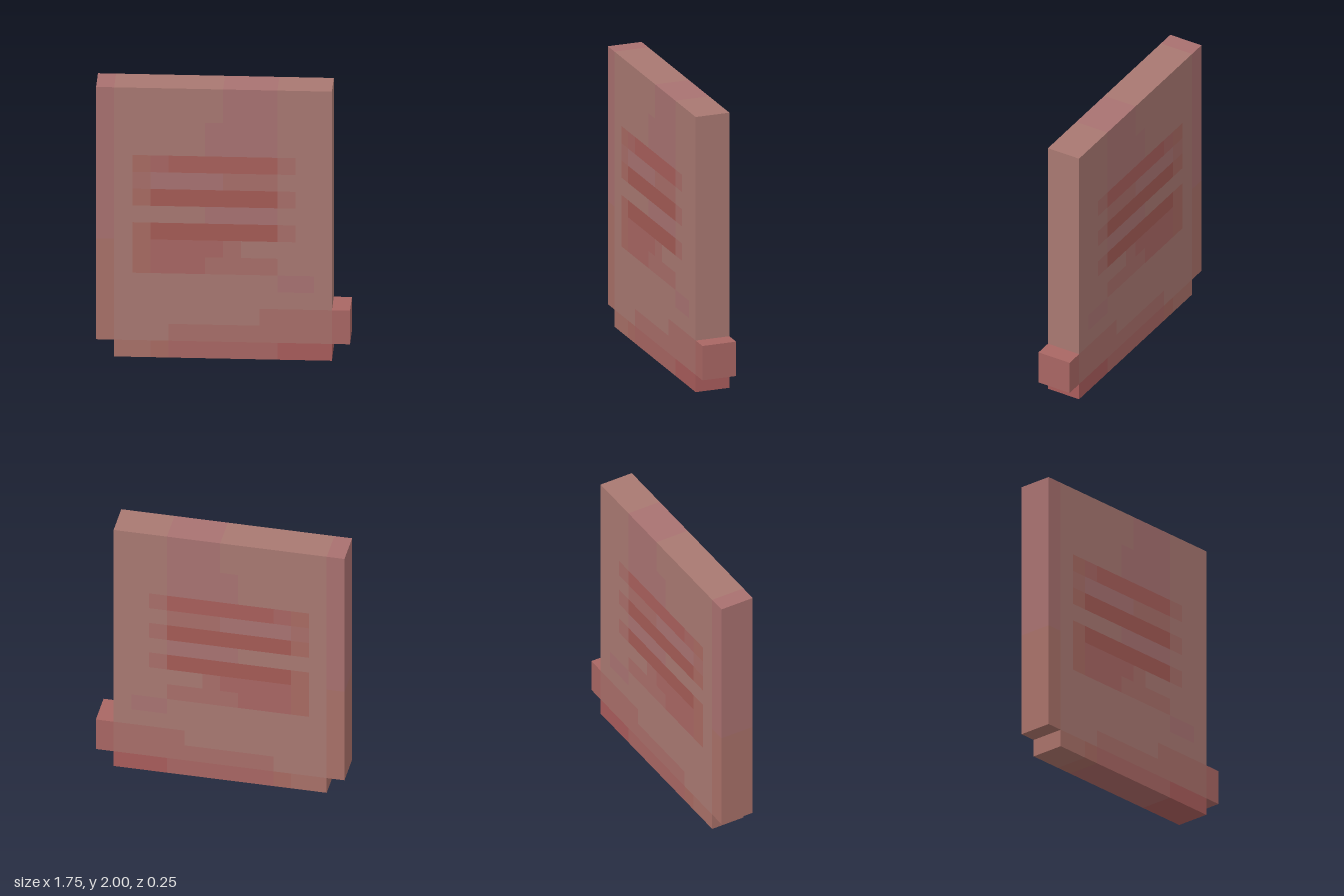
import * as THREE from 'three';

const CELL = 0.125, HALF_DEPTH = 0.125;

// Cell map of the written sheet, top row first; '.' is empty
const ROWS = [
  'lbbbbbbpppbbb.',
  'lbbbbbbpppbbb.',
  'lbbbbbppppbbb.',
  'lbbbbbppppbbb.',
  'lbesrrrrrrmbb.',
  'lbmppppmmmbbb.',
  'lbedddddddmbb.',
  'lbbbbbppppbbb.',
  'lbedddddddmbb.',
  'kbessssmbbbbb.',
  'kbesssmmmmbbb.',
  'kbbbbbbbbbppb.',
  'kbbbbbbbbbbbb.',
  'kbbbbbbbbmmmmf',
  'kbbbmmmmmmmmmf',
  '.kkeffffffgggg'.slice(0, 13) + '.',
];

const PARTS = {
  b: ['sheet', 0xa87871],
  l: ['upperLeftEdge', 0xa8706f],
  k: ['lowerLeftEdge', 0xa87068],
  p: ['paleStain', 0xa87271],
  m: ['rollShade', 0xa86e69],
  e: ['lineEnds', 0xa86a62],
  s: ['markBlock', 0xa86663],
  r: ['topLine', 0xa85f5b],
  d: ['lowerLines', 0xa45b55],
  f: ['rollEnd', 0xa86663],
  g: ['rollBase', 0xa85c5b],
};

const filled = (r, c) => (ROWS[r]?.[c] ?? '.') !== '.';

export function createModel() {
  const group = new THREE.Group();
  group.name = 'writtenSheet';

  for (const [key, [name, color]] of Object.entries(PARTS)) {
    const pos = [];
    const quad = (a, b, c, d) => pos.push(...a, ...b, ...c, ...a, ...c, ...d);

    ROWS.forEach((row, r) => [...row].forEach((ch, c) => {
      if (ch !== key) return;
      const x0 = -0.875 + c * CELL, x1 = x0 + CELL;
      const y1 = 2 - r * CELL, y0 = y1 - CELL;
      const f = HALF_DEPTH, k = -HALF_DEPTH;
      // Front and back
      quad([x0, y0, f], [x1, y0, f], [x1, y1, f], [x0, y1, f]);
      quad([x1, y0, k], [x0, y0, k], [x0, y1, k], [x1, y1, k]);
      // Rim faces only where the neighbouring cell is empty
      if (!filled(r, c + 1)) quad([x1, y0, f], [x1, y0, k], [x1, y1, k], [x1, y1, f]);
      if (!filled(r, c - 1)) quad([x0, y0, k], [x0, y0, f], [x0, y1, f], [x0, y1, k]);
      if (!filled(r - 1, c)) quad([x0, y1, f], [x1, y1, f], [x1, y1, k], [x0, y1, k]);
      if (!filled(r + 1, c)) quad([x0, y0, k], [x1, y0, k], [x1, y0, f], [x0, y0, f]);
    }));

    const geo = new THREE.BufferGeometry();
    geo.setAttribute('position', new THREE.Float32BufferAttribute(pos, 3));
    geo.computeVertexNormals();
    const mesh = new THREE.Mesh(geo, new THREE.MeshStandardMaterial({ color }));
    mesh.name = name;
    group.add(mesh);
  }
  return group;
}
